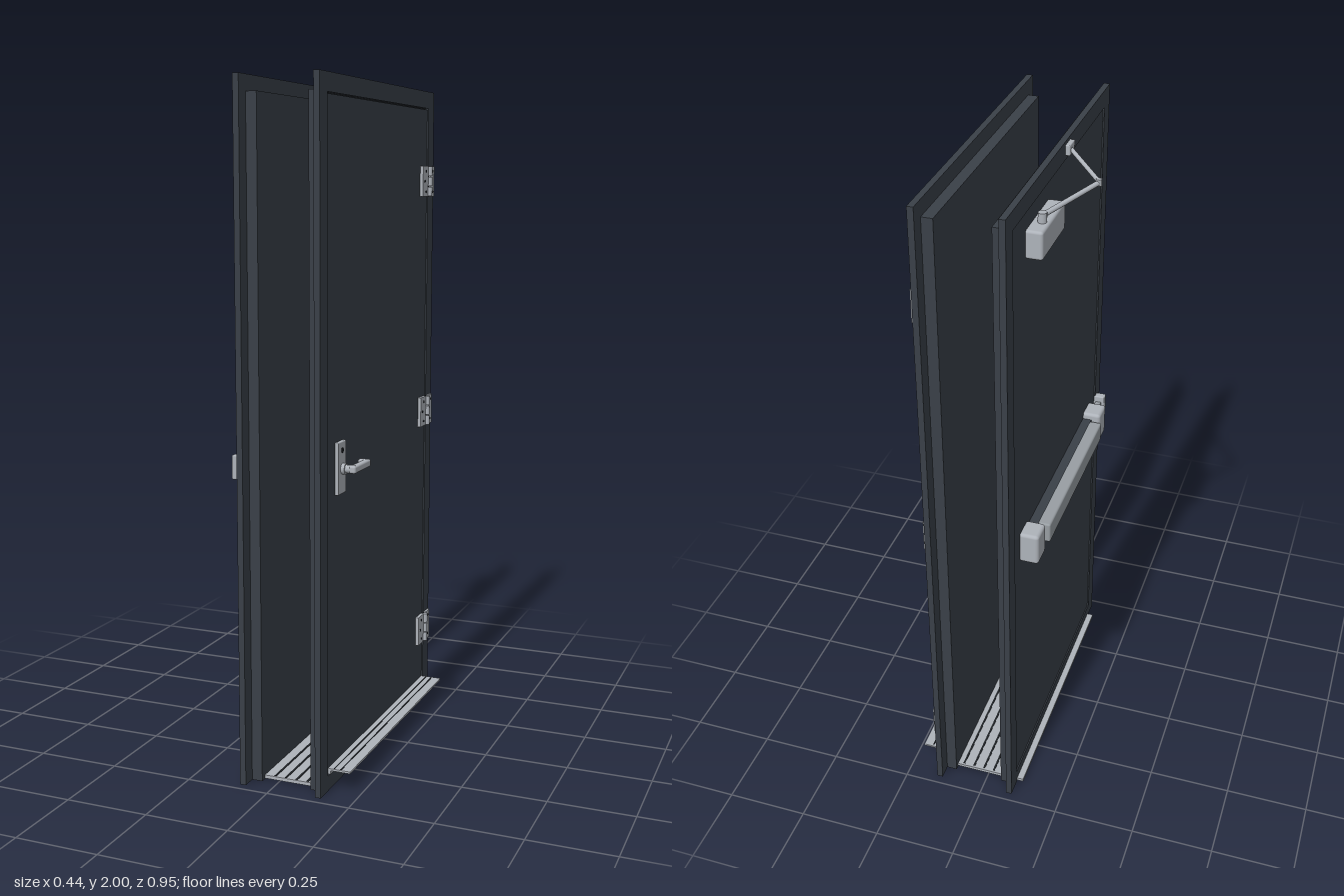
import * as THREE from 'three';
import { RoundedBoxGeometry } from 'three/addons/geometries/RoundedBoxGeometry.js';

const material = (name, color) => {
  const m = new THREE.MeshStandardMaterial({ color });
  m.name = name;
  return m;
};

export function createModel() {
  const paint = material('charcoal paint', 0x3a4048);
  const metal = material('satin metal', 0xaeb3ba);
  const pad = material('push pad metal', 0x989ea3);
  const dark = material('dark gaps', 0x202428);
  const model = new THREE.Group();
  model.name = 'securityDoor';

  const add = (name, geo, mat, x = 0, y = 0, z = 0, parent = model) => {
    const mesh = new THREE.Mesh(geo, mat);
    mesh.name = name;
    mesh.position.set(x, y, z);
    parent.add(mesh);
    return mesh;
  };
  // box given by its limits on each axis; r rounds the edges
  const box = (name, mat, [x0, x1], [y0, y1], [z0, z1], r = 0, parent = model) => {
    const s = [x1 - x0, y1 - y0, z1 - z0];
    const geo = r ? new RoundedBoxGeometry(...s, 2, r) : new THREE.BoxGeometry(...s);
    return add(name, geo, mat, (x0 + x1) / 2, (y0 + y1) / 2, (z0 + z1) / 2, parent);
  };
  // round bar between two points
  const rod = (name, mat, a, b, r, parent = model) => {
    const p = new THREE.Vector3(...a), q = new THREE.Vector3(...b);
    const mesh = add(name, new THREE.CylinderGeometry(r, r, p.distanceTo(q), 16), mat, 0, 0, 0, parent);
    mesh.position.copy(p).add(q).multiplyScalar(0.5);
    mesh.quaternion.setFromUnitVectors(new THREE.Vector3(0, 1, 0), q.sub(p).normalize());
    return mesh;
  };
  const group = (name) => {
    const g = new THREE.Group();
    g.name = name;
    model.add(g);
    return g;
  };

  // Two frame halves: flange outside, jamb block towards the wall cavity
  const frameHalf = (name, outer, s) => {
    const g = group(name);
    const span = (a, b) => [outer - s * a, outer - s * b].sort((m, n) => m - n);
    const fl = span(0, 0.018);
    for (const m of [-1, 1]) {
      box('jambFlange', paint, fl, [0, 2], m > 0 ? [0.42, 0.473] : [-0.473, -0.42], 0, g);
    }
    box('headFlange', paint, fl, [1.948, 2], [-0.42, 0.42], 0, g);
    box('bottomRail', paint, fl, [0, 0.045], [-0.42, 0.42], 0, g);
    box('doorGap', dark, span(0.012, 0.02), [0.04, 1.95], [-0.421, 0.421], 0, g);
    box('doorPanel', paint, span(0.003, 0.02), [0.049, 1.944], [-0.416, 0.416], 0, g);
    box('jambBlock', paint, span(0.018, 0.05), [0, 1.955], [-0.43, 0.43], 0, g);
  };
  frameHalf('outsideFrame', 0.155, 1);
  frameHalf('insideFrame', -0.097, -1);

  // Ribbed sill plate
  box('sill', metal, [-0.117, 0.137], [0.002, 0.012], [-0.415, 0.412]);
  for (const x of [-0.015, 0.018, 0.052, 0.086]) {
    box('sillGroove', dark, [x - 0.003, x + 0.003], [0.011, 0.0135], [-0.408, 0.408]);
  }

  // Drip plate at the bottom of the outside face
  box('dripPlate', metal, [0.15, 0.22], [0.059, 0.065], [-0.415, 0.412]);
  box('dripUpstand', metal, [0.15, 0.159], [0.048, 0.064], [-0.415, 0.412]);
  for (const x of [0.17, 0.19]) {
    box('dripGroove', dark, [x - 0.002, x + 0.002], [0.0645, 0.066], [-0.408, 0.408]);
  }

  // Hinges
  for (const y of [0.24, 0.98, 1.72]) {
    const g = group('hinge');
    box('frameLeaf', metal, [0.15, 0.162], [y - 0.048, y + 0.048], [-0.463, -0.423], 0, g);
    box('doorLeaf', metal, [0.15, 0.162], [y - 0.048, y + 0.048], [-0.403, -0.352], 0, g);
    box('hingeGap', dark, [0.15, 0.158], [y - 0.048, y + 0.048], [-0.423, -0.403], 0, g);
    for (const [i, h] of [-0.032, 0, 0.032].entries()) {
      rod('knuckle', metal, [0.163, y + h - 0.0145, -0.413], [0.163, y + h + 0.0145, -0.413], 0.009, g);
      for (const z of [-0.443, -0.378]) {
        const zz = z + (i === 1 ? 0.008 : -0.004);
        rod('screw', dark, [0.161, y + h, zz], [0.1635, y + h, zz], 0.004, g);
      }
    }
  }

  // Lever handle
  const lever = group('leverHandle');
  box('backPlate', metal, [0.15, 0.162], [0.85, 1.0], [0.3, 0.36], 0.003, lever);
  rod('keyhole', dark, [0.161, 0.975, 0.33], [0.1635, 0.975, 0.33], 0.008, lever);
  rod('collar', metal, [0.16, 0.922, 0.328], [0.173, 0.922, 0.328], 0.016, lever);
  rod('spindle', metal, [0.16, 0.922, 0.328], [0.2, 0.922, 0.328], 0.012, lever);
  box('grip', metal, [0.185, 0.205], [0.911, 0.933], [0.216, 0.34], 0.006, lever);
  box('gripReturn', metal, [0.17, 0.204], [0.911, 0.933], [0.216, 0.234], 0.006, lever);

  // Push bar on the inside face
  const bar = group('pushBar');
  for (const z of [-0.333, 0.322]) {
    box('endHousing', metal, [-0.15, -0.09], [0.875, 0.975], [z - 0.036, z + 0.036], 0.01, bar);
  }
  box('rail', paint, [-0.122, -0.09], [0.895, 0.955], [-0.3, 0.29], 0, bar);
  box('pushPad', pad, [-0.158, -0.12], [0.893, 0.957], [-0.28, 0.277], 0.006, bar);
  box('latchBolt', pad, [-0.118, -0.1], [0.91, 0.94], [0.35, 0.425], 0, bar);
  box('strike', metal, [-0.128, -0.09], [0.89, 0.96], [0.418, 0.443], 0.004, bar);

  // Door closer with folding arm
  const closer = group('doorCloser');
  box('closerBody', metal, [-0.14, -0.09], [1.818, 1.898], [-0.312, -0.112], 0.008, closer);
  rod('pivot', metal, [-0.12, 1.89, -0.252], [-0.12, 1.925, -0.252], 0.012, closer);
  rod('mainArm', metal, [-0.12, 1.916, -0.252], [-0.217, 1.942, -0.074], 0.007, closer);
  rod('elbow', metal, [-0.217, 1.934, -0.074], [-0.217, 1.952, -0.074], 0.008, closer);
  rod('foreArm', metal, [-0.217, 1.945, -0.074], [-0.105, 1.974, 0.045], 0.006, closer);
  box('armShoe', metal, [-0.11, -0.09], [1.96, 1.99], [0.024, 0.07], 0.003, closer);

  return model;
}
